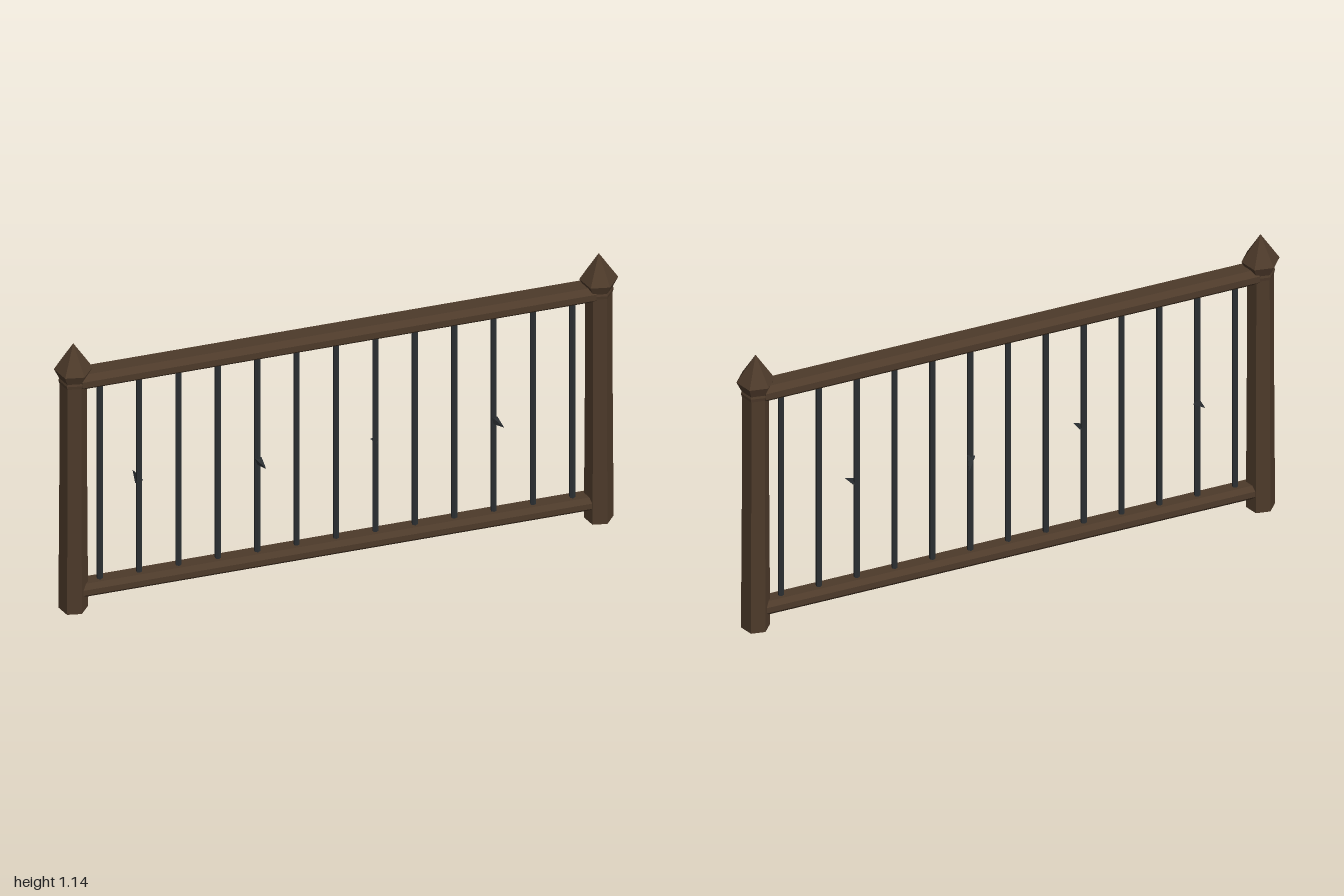
import * as THREE from 'three';

const wood = new THREE.MeshStandardMaterial({ color: 0x4d3a2a });
wood.name = 'dark wood';
const iron = new THREE.MeshStandardMaterial({ color: 0x2c3033 });
iron.name = 'black iron';

const POST_X = 0.934;

// Split the faces so every facet has its own flat normal
function part(name, geometry, material) {
  const flat = geometry.index ? geometry.toNonIndexed() : geometry;
  flat.computeVertexNormals();
  const mesh = new THREE.Mesh(flat, material);
  mesh.name = name;
  return mesh;
}

// Six-sided turned shape from [radius, height] pairs
function hexLathe(profile, turn) {
  const points = profile.map(([r, y]) => new THREE.Vector2(r, y));
  return new THREE.LatheGeometry(points, 6, THREE.MathUtils.degToRad(turn), Math.PI * 2);
}

// Post with slightly flared foot, ring and pointed finial
function makePost(name, x) {
  const post = new THREE.Group();
  post.name = name;
  post.add(part('postShaft', hexLathe(
    [[0, 0], [0.051, 0], [0.05, 0.2], [0.048, 0.55], [0.047, 0.985], [0, 0.985]], 20), wood));
  post.add(part('postCollar', hexLathe(
    [[0.04, 0.968], [0.049, 0.972], [0.051, 0.985], [0.047, 0.998], [0.03, 1.0]], 20), wood));
  post.add(part('postFinial', hexLathe(
    [[0, 0.985], [0.046, 0.988], [0.067, 1.033], [0, 1.14]], 20), wood));
  post.position.x = x;
  return post;
}

// Horizontal rail with chamfered, flattened eight-sided section
function makeRail(name, y, halfHeight, halfDepth) {
  const c = 0.58;
  const section = new THREE.Shape([
    [1, -0.4], [1, 0.4], [c, 1], [-c, 1], [-1, 0.4], [-1, -0.4], [-c, -1], [c, -1],
  ].map(([z, v]) => new THREE.Vector2(z * halfDepth, v * halfHeight)));
  const geometry = new THREE.ExtrudeGeometry(section, { depth: 2 * POST_X - 0.04, bevelEnabled: false });
  geometry.translate(0, 0, -(POST_X - 0.02));
  geometry.rotateY(Math.PI / 2);
  const rail = part(name, geometry, wood);
  rail.position.y = y;
  return rail;
}

// Small three-sided thorn growing out of a bar
function makeThorn(x, direction) {
  const geometry = new THREE.ConeGeometry(0.018, 0.055, 3);
  geometry.translate(0, 0.0275, 0);
  const thorn = part('thorn', geometry, iron);
  thorn.quaternion.setFromUnitVectors(
    new THREE.Vector3(0, 1, 0), new THREE.Vector3(...direction).normalize());
  thorn.position.set(x, 0.5, 0);
  return thorn;
}

export function createModel() {
  const fence = new THREE.Group();
  fence.name = 'fencePanel';

  fence.add(makePost('leftPost', POST_X), makePost('rightPost', -POST_X));
  fence.add(makeRail('topRail', 0.984, 0.031, 0.044));
  fence.add(makeRail('bottomRail', 0.078, 0.028, 0.036));

  // Thirteen evenly spaced iron bars
  const bars = new THREE.Group();
  bars.name = 'bars';
  for (let i = -6; i <= 6; i++) {
    const bar = part('bar', new THREE.CylinderGeometry(0.011, 0.011, 0.9, 6), iron);
    bar.position.set(i * 0.14, 0.53, 0);
    bars.add(bar);
  }
  fence.add(bars);

  // Thorns on every third bar
  const thorns = new THREE.Group();
  thorns.name = 'thorns';
  thorns.add(
    makeThorn(-0.7, [-0.15, 0.1, -1]),
    makeThorn(-0.28, [0.3, -0.1, 0.9]),
    makeThorn(0.14, [0.2, -0.5, -0.4]),
    makeThorn(0.56, [0.4, -0.1, 0.8]),
  );
  fence.add(thorns);

  return fence;
}
